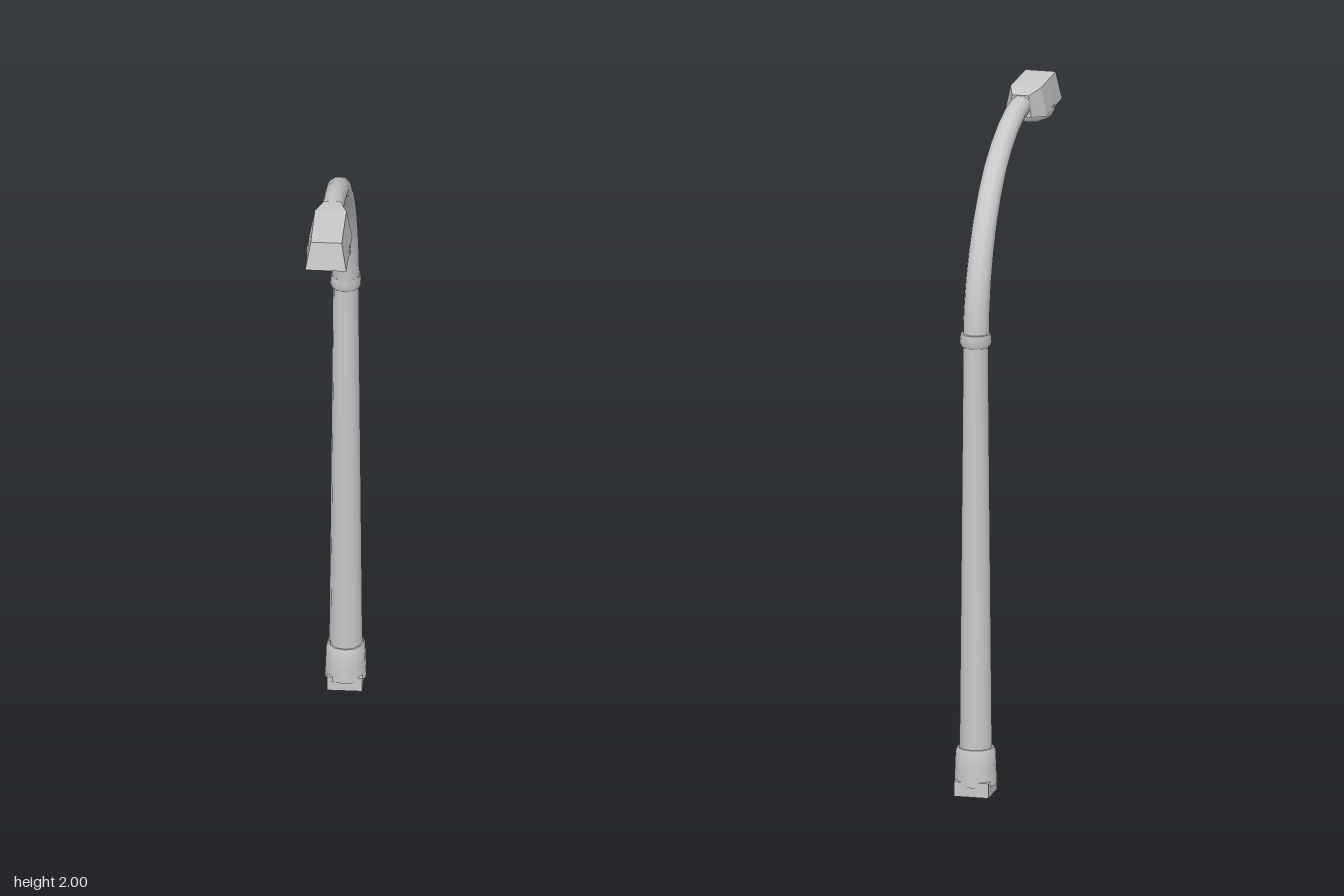
import * as THREE from 'three';
import { toCreasedNormals } from 'three/addons/utils/BufferGeometryUtils.js';
import { ConvexGeometry } from 'three/addons/geometries/ConvexGeometry.js';

const POLE_Z = -0.378;

export function createModel() {
  const group = new THREE.Group();
  const metal = new THREE.MeshStandardMaterial({ color: 0xc9c9c9 });
  metal.name = 'lightGreyMetal';

  function add(name, geometry, x = 0, y = 0, z = 0) {
    const mesh = new THREE.Mesh(geometry, metal);
    mesh.name = name;
    mesh.position.set(x, y, z);
    group.add(mesh);
  }

  // Turned part standing on the pole axis, from [radius, height] pairs
  function turned(name, profile, sides) {
    const points = profile.map(([r, y]) => new THREE.Vector2(r, y));
    add(name, toCreasedNormals(new THREE.LatheGeometry(points, sides), 0.85), 0, 0, POLE_Z);
  }

  // Foot, sleeve, pole and collar
  add('foot', new THREE.BoxGeometry(0.105, 0.045, 0.108), 0, 0.0225, POLE_Z - 0.002);
  turned('baseSleeve', [[0, 0.03], [0.064, 0.03], [0.062, 0.075], [0.06, 0.13], [0.055, 0.142], [0, 0.142]], 10);
  turned('pole', [[0.05, 0.1], [0.038, 1.4]], 12);
  turned('collar', [[0, 1.372], [0.043, 1.372], [0.048, 1.385], [0.045, 1.412], [0, 1.412]], 10);

  // Curved arm, thinner towards the lamp
  const path = new THREE.CatmullRomCurve3([
    [1.39, -0.374], [1.46, -0.37], [1.569, -0.344], [1.722, -0.265],
    [1.852, -0.138], [1.923, 0], [1.952, 0.1], [1.962, 0.19],
  ].map(([y, z]) => new THREE.Vector3(0, y, z)));
  const steps = 10, sides = 10;
  const arm = new THREE.TubeGeometry(path, steps, 0.041, sides, false);
  const pos = arm.attributes.position;
  const v = new THREE.Vector3();
  for (let i = 0; i < pos.count; i++) {
    const t = Math.floor(i / (sides + 1)) / steps;
    const centre = path.getPointAt(t);
    v.fromBufferAttribute(pos, i).sub(centre).multiplyScalar(1 - 0.23 * t).add(centre);
    pos.setXYZ(i, v.x, v.y, v.z);
  }
  arm.computeBoundingSphere();
  add('arm', arm);

  // Lamp housing: [half width, y, z] corners, mirrored
  const corners = [];
  for (const [x, y, z] of [
    [0.025, 1.992, 0.172], [0.047, 2, 0.24], [0.046, 2, 0.422],
    [0.033, 1.926, 0.172], [0.064, 1.914, 0.236], [0.061, 1.914, 0.44],
  ]) corners.push(new THREE.Vector3(x, y, z), new THREE.Vector3(-x, y, z));
  add('lampHousing', new ConvexGeometry(corners));

  // Bowl-shaped lens below the housing
  const bowl = [[0, -0.04], [0.55, -0.037], [0.85, -0.025], [1, -0.006], [0.97, 0.006], [0, 0.006]]
    .map(([r, y]) => new THREE.Vector2(r, y));
  const lens = new THREE.LatheGeometry(bowl, 12);
  lens.scale(0.067, 1, 0.097);
  add('lens', toCreasedNormals(lens, 0.9), 0, 1.917, 0.325);

  return group;
}
